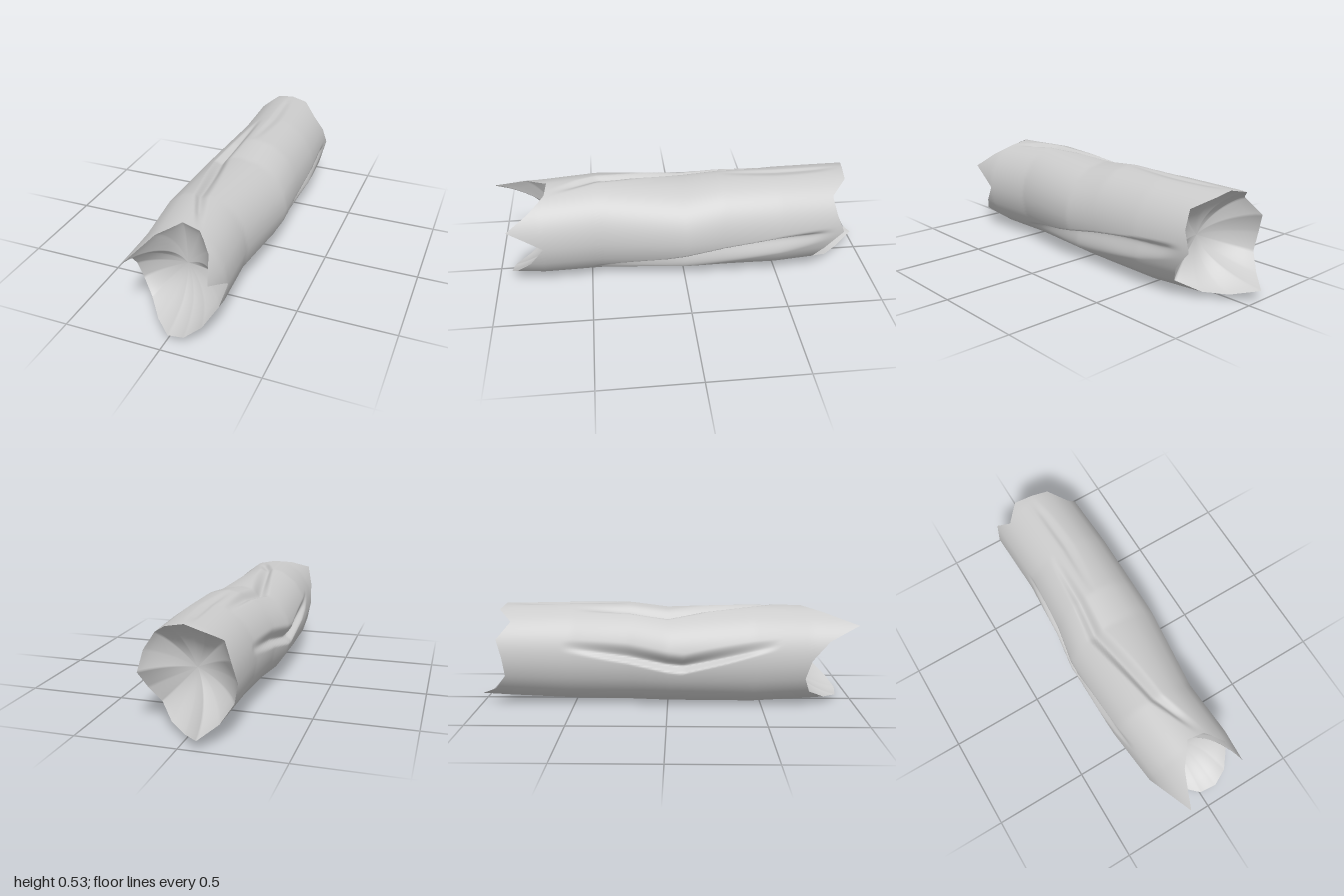
import * as THREE from 'three';

const COLS = 192, SIDES = 16, STEP = 360 / SIDES;

// How far each of the 16 corners reaches along z, counter-clockwise from +x
const FRONT = [0.74, 0.92, 0.8, 0.72, 0.71, 0.82, 1.0, 0.84, 0.75, 0.72, 0.75, 0.84, 0.92, 0.93, 0.89, 0.81];
const BACK = [-0.84, -0.8, -0.78, -0.86, -0.87, -0.89, -0.82, -0.89, -0.86, -0.85, -0.91, -1.0, -0.89, -0.8, -0.7, -0.75];

// Trunk outline: z, xMin, xMax, yMin, yMax
const SECTIONS = [
  [-1.0, -0.24, 0.25, 0.03, 0.52],
  [-0.85, -0.235, 0.25, 0.02, 0.53],
  [-0.5, -0.222, 0.267, 0.0, 0.535],
  [-0.2, -0.24, 0.268, 0.0, 0.535],
  [0.0, -0.272, 0.272, 0.0, 0.512],
  [0.45, -0.262, 0.218, 0.0, 0.53],
  [0.75, -0.23, 0.237, 0.01, 0.52],
  [1.0, -0.225, 0.225, 0.03, 0.51],
];

// Bark cracks: path of [z, angle in degrees], angular width, depth
const CRACKS = [
  { path: [[-0.5, 113], [0, 116], [0.45, 92], [0.74, 68]], width: 16, depth: 0.04 },
  { path: [[-0.55, 165], [0.08, 186], [0.58, 160]], width: 17, depth: 0.045 },
  { path: [[-0.8, 360], [-0.5, 354], [0, 336], [0.5, 312]], width: 24, depth: 0.065 },
  { path: [[-0.9, 92], [-0.2, 92]], width: 12, depth: 0.012 },
];

// Linear lookup in rows sorted by their first number
function lookup(rows, v, col) {
  const last = rows.length - 1;
  if (v <= rows[0][0]) return rows[0][col];
  if (v >= rows[last][0]) return rows[last][col];
  const i = rows.findIndex((r) => r[0] > v);
  const a = rows[i - 1], b = rows[i];
  return THREE.MathUtils.mapLinear(v, a[0], b[0], a[col], b[col]);
}

function rimZ(rim, angle) {
  const s = angle / STEP, i = Math.floor(s) % SIDES;
  return THREE.MathUtils.lerp(rim[i], rim[(i + 1) % SIDES], s - Math.floor(s));
}

// Each crack has a steep upper lip and a long slope below it
function crackCut(angle, z) {
  let cut = 0;
  for (const { path, width, depth } of CRACKS) {
    const z0 = path[0][0], z1 = path[path.length - 1][0];
    if (z <= z0 || z >= z1) continue;
    const fade = Math.sin(Math.PI * (z - z0) / (z1 - z0));
    const d = ((lookup(path, z, 1) - angle + 540) % 360) - 180;
    const shape = d < 0 ? 1 + d / 7 : 1 - d / (width * (0.4 + 0.6 * fade));
    cut = Math.max(cut, depth * fade * THREE.MathUtils.smoothstep(shape, 0, 1));
  }
  return cut;
}

// Point on the trunk, scaled toward its axis: sixteen-sided, or round
function trunkPoint(angle, z, scale, round) {
  const [x0, x1, y0, y1] = [1, 2, 3, 4].map((c) => lookup(SECTIONS, z, c));
  const rad = THREE.MathUtils.degToRad, half = STEP / 2;
  const r = round ? scale : scale * Math.cos(rad(half)) / Math.cos(rad((angle % STEP) - half));
  const x = (x0 + x1) / 2 + Math.cos(rad(angle)) * r * (x1 - x0) / 2;
  const y = (y0 + y1) / 2 + Math.sin(rad(angle)) * r * (y1 - y0) / 2;
  return [x, y, z];
}

// Skin of closed rings; at(angle, t, round) gives a point, t running from 0 to 1
function ringSkin(name, rows, at, flip = false) {
  const index = [];
  for (let j = 0; j < rows; j++) {
    for (let i = 0; i < COLS; i++) {
      const k = (i + 1) % COLS;
      const a = j * COLS + i, b = j * COLS + k, c = a + COLS, d = b + COLS;
      if (flip) index.push(a, c, b, b, c, d);
      else index.push(a, b, c, b, d, c);
    }
  }
  const points = (round) => {
    const pos = [];
    for (let j = 0; j <= rows; j++) {
      for (let i = 0; i < COLS; i++) pos.push(...at(i * 360 / COLS, j / rows, round));
    }
    return new THREE.Float32BufferAttribute(pos, 3);
  };
  // Normals come from the round skin, so the sixteen sides shade smoothly
  const geo = new THREE.BufferGeometry();
  geo.setIndex(index);
  geo.setAttribute('position', points(true));
  geo.computeVertexNormals();
  geo.setAttribute('position', points(false));
  const material = new THREE.MeshStandardMaterial({ color: 0xcccccc, side: THREE.DoubleSide });
  const mesh = new THREE.Mesh(geo, material);
  mesh.name = name;
  return mesh;
}

// Shallow bowl sloping from the splintered rim to a flat middle
function hollow(name, rim, floorZ, flip) {
  return ringSkin(name, 14, (angle, t, round) => {
    const z = THREE.MathUtils.lerp(rimZ(rim, angle), floorZ, 1 - (1 - t) ** 2);
    return trunkPoint(angle, z, 1 - t ** 1.15, round);
  }, flip);
}

export function createModel() {
  const log = new THREE.Group();
  log.name = 'brokenLog';

  // Outer bark, stretched between the two jagged rims
  log.add(ringSkin('bark', 100, (angle, t, round) => {
    const z = THREE.MathUtils.lerp(rimZ(BACK, angle), rimZ(FRONT, angle), t);
    const rimFade = Math.min(1, t * 12, (1 - t) * 12);
    return trunkPoint(angle, z, 1 - rimFade * crackCut(angle, z) / 0.27, round);
  }));

  // Hollowed ends
  log.add(hollow('frontHollow', FRONT, 0.66, true));
  log.add(hollow('backHollow', BACK, -0.68, false));
  return log;
}
